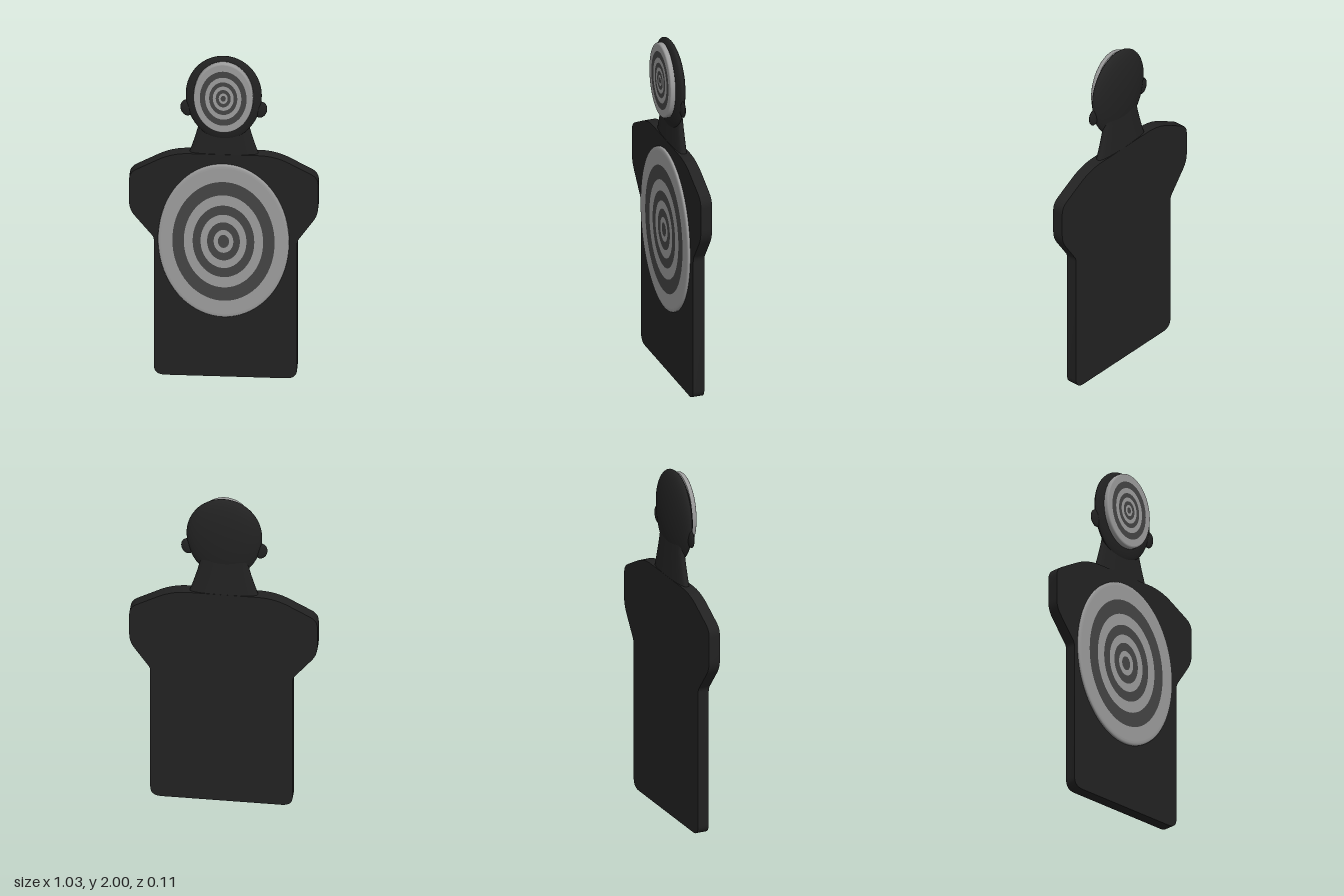
import * as THREE from 'three';
import { toCreasedNormals } from 'three/addons/utils/BufferGeometryUtils.js';

const paint = (color) => new THREE.MeshStandardMaterial({ color });
const black = paint(0x222222);
const dark = paint(0x444444);
const light = paint(0x9c9c9c);

function addMesh(parent, name, geometry, material) {
  const mesh = new THREE.Mesh(geometry, material);
  mesh.name = name;
  parent.add(mesh);
  return mesh;
}

// Closed outline with each corner [x, y, radius] rounded off
function roundedShape(corners) {
  const shape = new THREE.Shape();
  const n = corners.length;
  corners.forEach(([x, y, r], i) => {
    const toward = ([px, py]) => {
      const d = Math.hypot(px - x, py - y);
      return [x + ((px - x) * r) / d, y + ((py - y) * r) / d];
    };
    const a = toward(corners[(i + n - 1) % n]);
    const b = toward(corners[(i + 1) % n]);
    if (i === 0) shape.moveTo(...a);
    else shape.lineTo(...a);
    shape.quadraticCurveTo(x, y, ...b);
  });
  shape.closePath();
  return shape;
}

// Oval disc of alternating rings; z runs from back to back + depth
function target(name, y, back, rx, ry, depth) {
  const group = new THREE.Group();
  group.name = name;
  const radii = [1, 0.78, 0.605, 0.47, 0.35, 0.25, 0.15, 0.085, 0];
  for (let i = 0; i < radii.length - 1; i++) {
    const profile = [];
    if (i === 0) {
      // back face, rim and softened front edge
      profile.push([0, 0], [1, 0], [1, 0.65], [0.993, 0.85], [0.975, 0.97], [0.955, 1]);
    } else profile.push([radii[i], 1]);
    profile.push([radii[i + 1], 1]);
    const geometry = toCreasedNormals(
      new THREE.LatheGeometry(profile.map((p) => new THREE.Vector2(...p)), 72), 0.7);
    geometry.scale(rx, depth, ry);
    geometry.rotateX(Math.PI / 2);
    addMesh(group, 'ring' + (i + 1), geometry, i % 2 ? dark : light);
  }
  group.position.set(0, y, back);
  return group;
}

export function createModel() {
  const model = new THREE.Group();
  model.name = 'silhouetteTarget';

  // Torso board
  const outline = roundedShape([
    [-0.38, 0, 0.06], [0.4, 0, 0.06], [0.4, 0.86, 0.02],
    [0.515, 1.03, 0.05], [0.515, 1.26, 0.045], [0.28, 1.39, 0.09],
    [-0.28, 1.39, 0.09], [-0.515, 1.26, 0.045], [-0.515, 1.03, 0.05], [-0.38, 0.86, 0.02],
  ]);
  const board = new THREE.ExtrudeGeometry(outline, { depth: 0.065, bevelEnabled: false, curveSegments: 8 });
  board.translate(0, 0, -0.05);
  addMesh(model, 'torso', toCreasedNormals(board, 0.6), black);

  // Neck: oblong column flaring into the shoulders
  const neck = new THREE.CylinderGeometry(1, 1, 0.25, 40, 8);
  const p = neck.attributes.position;
  for (let i = 0; i < p.count; i++) {
    const t = p.getY(i) / 0.25 + 0.5;
    const halfWidth = 0.125 + 0.065 * Math.pow(1 - t, 1.3);
    const halfDepth = 0.032 - 0.01 * t;
    const flat = Math.sign(p.getZ(i)) * Math.pow(Math.abs(p.getZ(i)), 0.6);
    p.setXYZ(i, p.getX(i) * halfWidth, 1.38 + t * 0.25, flat * halfDepth - 0.018);
  }
  neck.computeVertexNormals();
  addMesh(model, 'neck', toCreasedNormals(neck, 0.8), black);

  // Head: flattened egg, shallower in front, longer toward the chin
  const head = new THREE.SphereGeometry(1, 48, 32);
  const h = head.attributes.position;
  for (let i = 0; i < h.count; i++) {
    const x = h.getX(i), y = h.getY(i), z = h.getZ(i);
    h.setXYZ(i, x * 0.207, 1.76 + y * (y > 0 ? 0.24 : 0.28), z * (z > 0 ? 0.034 : 0.052));
  }
  head.computeVertexNormals();
  addMesh(model, 'head', head, black);

  // Ears
  for (const side of [-1, 1]) {
    const ear = addMesh(model, side > 0 ? 'leftEar' : 'rightEar', new THREE.SphereGeometry(1, 20, 14), black);
    ear.scale.set(0.036, 0.05, 0.012);
    ear.position.set(side * 0.2, 1.67, -0.002);
    ear.rotation.z = -side * 0.15;
  }

  model.add(target('torsoRings', 0.855, 0.012, 0.357, 0.477, 0.018));
  model.add(target('headRings', 1.763, 0.025, 0.163, 0.217, 0.028));
  return model;
}
